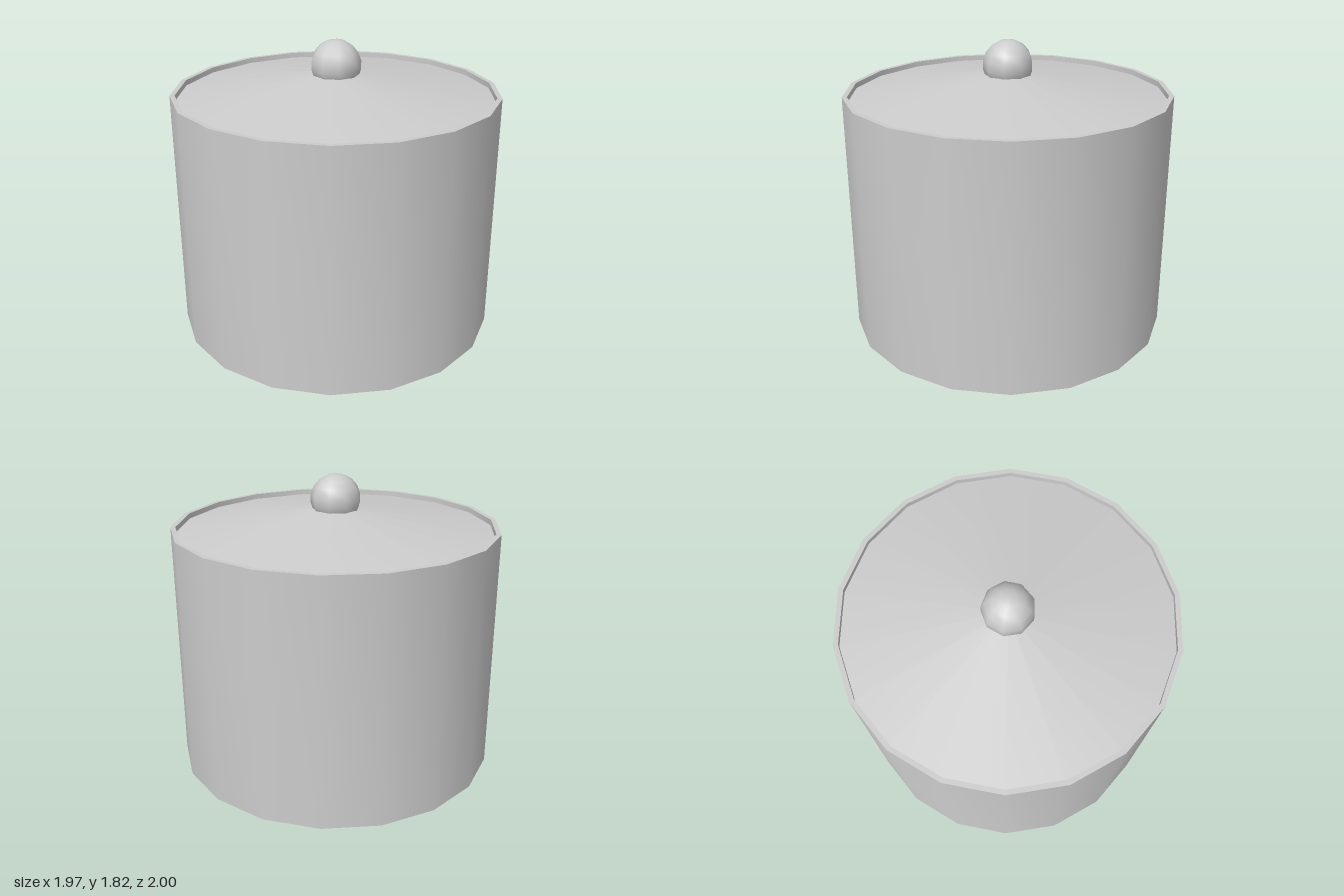
import * as THREE from 'three';
import { toCreasedNormals } from 'three/addons/utils/BufferGeometryUtils.js';

const SIDES = 18;
const material = new THREE.MeshStandardMaterial({ color: 0xcccccc });

// Revolve a profile of [radius, height] pairs, keeping its corners sharp
function revolve(name, profile) {
  const points = profile.map(([r, y]) => new THREE.Vector2(r, y));
  const geometry = toCreasedNormals(new THREE.LatheGeometry(points, SIDES), 0.6);
  const mesh = new THREE.Mesh(geometry, material);
  mesh.name = name;
  return mesh;
}

export function createModel() {
  const model = new THREE.Group();
  model.name = 'lidded pot';

  // Hollow body with a thin rim
  model.add(revolve('potBody', [[0, 0], [1, 0], [1, 1.51], [0.97, 1.51], [0.97, 0.03], [0, 0.03]]));

  // Shallow conical lid sunk just below the rim
  const lidBase = 1.477, lidHeight = 0.15;
  const lid = new THREE.Mesh(new THREE.ConeGeometry(0.969, lidHeight, SIDES), material);
  lid.name = 'lid';
  lid.position.y = lidBase + lidHeight / 2;
  model.add(lid);

  // Low-poly ball knob, one corner turned to +x
  const knob = new THREE.Mesh(new THREE.SphereGeometry(0.155, 9, 9), material);
  knob.name = 'knob';
  knob.position.y = 1.663;
  knob.rotation.y = Math.PI;
  model.add(knob);

  return model;
}
